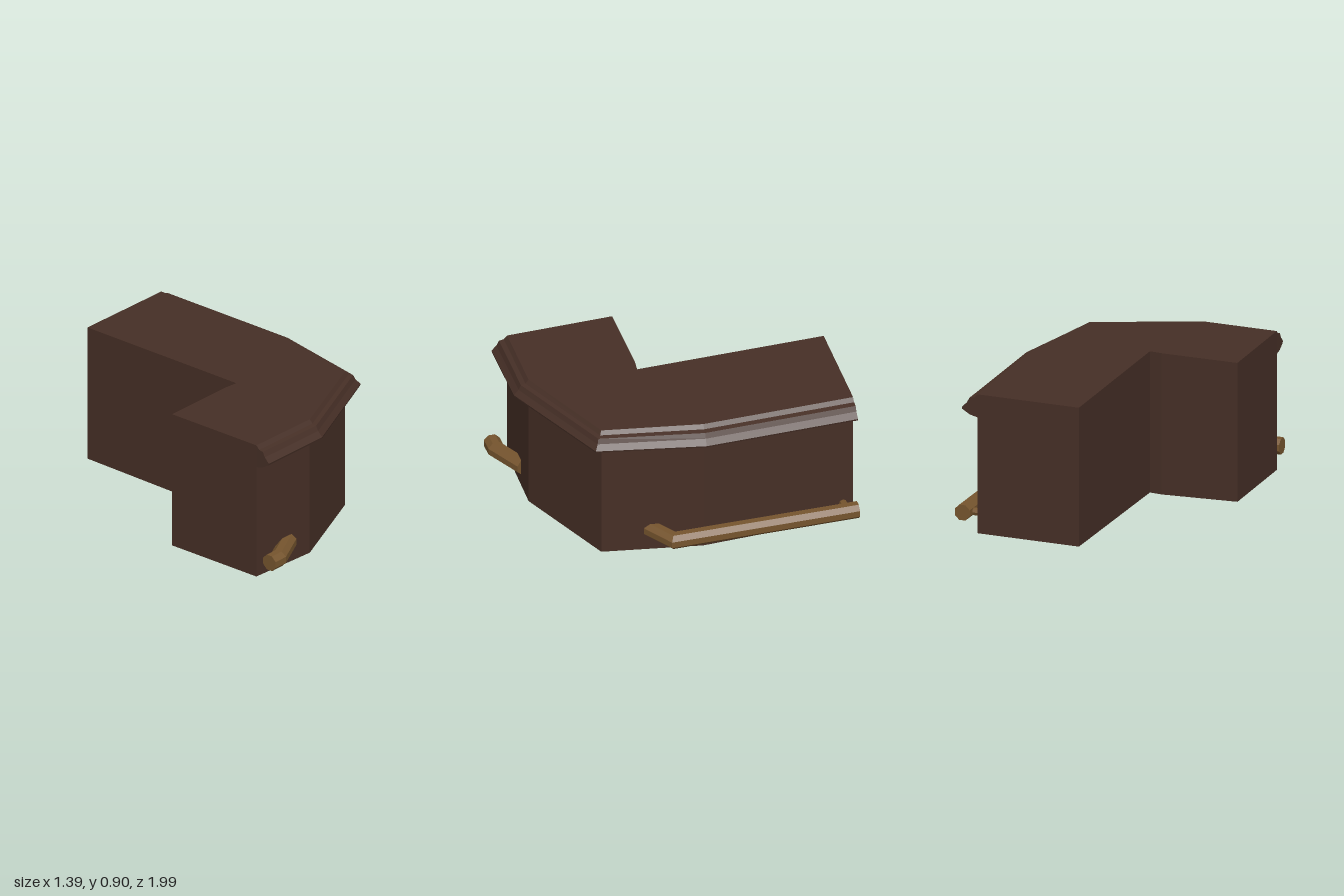
import * as THREE from 'three';

const wood = new THREE.MeshStandardMaterial({ color: 0x462f26, flatShading: true });
wood.name = 'dark wood';
const brass = new THREE.MeshStandardMaterial({ color: 0x76552e, flatShading: true });
brass.name = 'brass';

// Sweeps a profile of [outward, y] along a path of [x, z, outward x, outward z], with end caps.
function sweep(path, profile) {
  const n = profile.length, pos = [], idx = [];
  for (const [x, z, dx, dz] of path)
    for (const [d, y] of profile) pos.push(x + dx * d, y, z + dz * d);
  for (let i = 0; i < path.length - 1; i++)
    for (let j = 0; j < n - 1; j++) {
      const a = i * n + j, b = a + 1, c = b + n, d = a + n;
      idx.push(a, b, c, a, c, d);
    }
  const end = (path.length - 1) * n;
  for (let j = 0; j < n - 2; j++) {
    idx.push(n - 1, j + 1, j);
    idx.push(end + n - 1, end + j, end + j + 1);
  }
  const geo = new THREE.BufferGeometry();
  geo.setAttribute('position', new THREE.Float32BufferAttribute(pos, 3));
  geo.setIndex(idx);
  const flat = geo.toNonIndexed();
  flat.computeVertexNormals();
  return flat;
}

// Octagonal profile with flat top
function octagon(r, y) {
  const pts = [];
  for (let k = 0; k <= 8; k++) {
    const a = Math.PI * (0.625 - k / 4);
    pts.push([r * Math.cos(a), y + r * Math.sin(a)]);
  }
  return pts;
}

export function createModel() {
  const group = new THREE.Group();
  const add = (name, geo, mat) => {
    const mesh = new THREE.Mesh(geo, mat);
    mesh.name = name;
    group.add(mesh);
    return mesh;
  };

  // Customer side of the counter, each point with its mitred outward direction
  const front = [
    [-0.69, 0.845, 0, 1],
    [-0.205, 0.855, 0.05, 0.95],
    [0.435, 0.585, 0.78, 0.58],
    [0.55, -0.03, 1.04, 0.1],
    [0.54, -0.985, 1.05, 0],
  ];
  const back = [[-0.13, -1], [-0.12, 0.19], [-0.2, 0.18], [-0.7, 0.175]];

  // L-shaped body, its underside rising slightly at both ends
  const outline = [...front, ...back].map(([x, z]) => new THREE.Vector2(x, -z));
  const body = new THREE.ExtrudeGeometry(new THREE.Shape(outline), { depth: 0.905, bevelEnabled: false });
  body.rotateX(-Math.PI / 2);
  const p = body.attributes.position;
  for (let i = 0; i < p.count; i++)
    if (p.getY(i) < 0.01 && (p.getX(i) < -0.6 || p.getZ(i) < -0.9)) p.setY(i, 0.015);
  body.computeVertexNormals();
  add('counterBody', body, wood);

  // Moulded edge under the counter top
  const moulding = [
    [0, 0.905], [0.022, 0.882], [0.052, 0.876], [0.068, 0.845],
    [0.1, 0.812], [0.097, 0.8], [0.05, 0.77], [0, 0.757],
  ];
  add('edgeMoulding', sweep(front, moulding), wood);

  // Foot rails, each turning into the body at its inner end
  add('footRailFront', sweep([
    [-0.685, 0.945, 0, 1], [-0.6, 0.945, 0.236, 1], [-0.38, 0.835, 0.447, 0.894],
  ], octagon(0.054, 0.138)), brass);
  add('footRailSide', sweep([
    [0.46, 0.286, 0.53, 0.85], [0.63, 0.18, 1, 0.56], [0.641, -0.985, 1, 0],
  ], octagon(0.053, 0.135)), brass);

  // Bracket carrying the far end of the side rail
  const bracket = add('railBracket', new THREE.CylinderGeometry(0.025, 0.025, 0.11, 8), brass);
  bracket.rotation.z = Math.PI / 2;
  bracket.position.set(0.58, 0.13, -0.92);

  return group;
}
